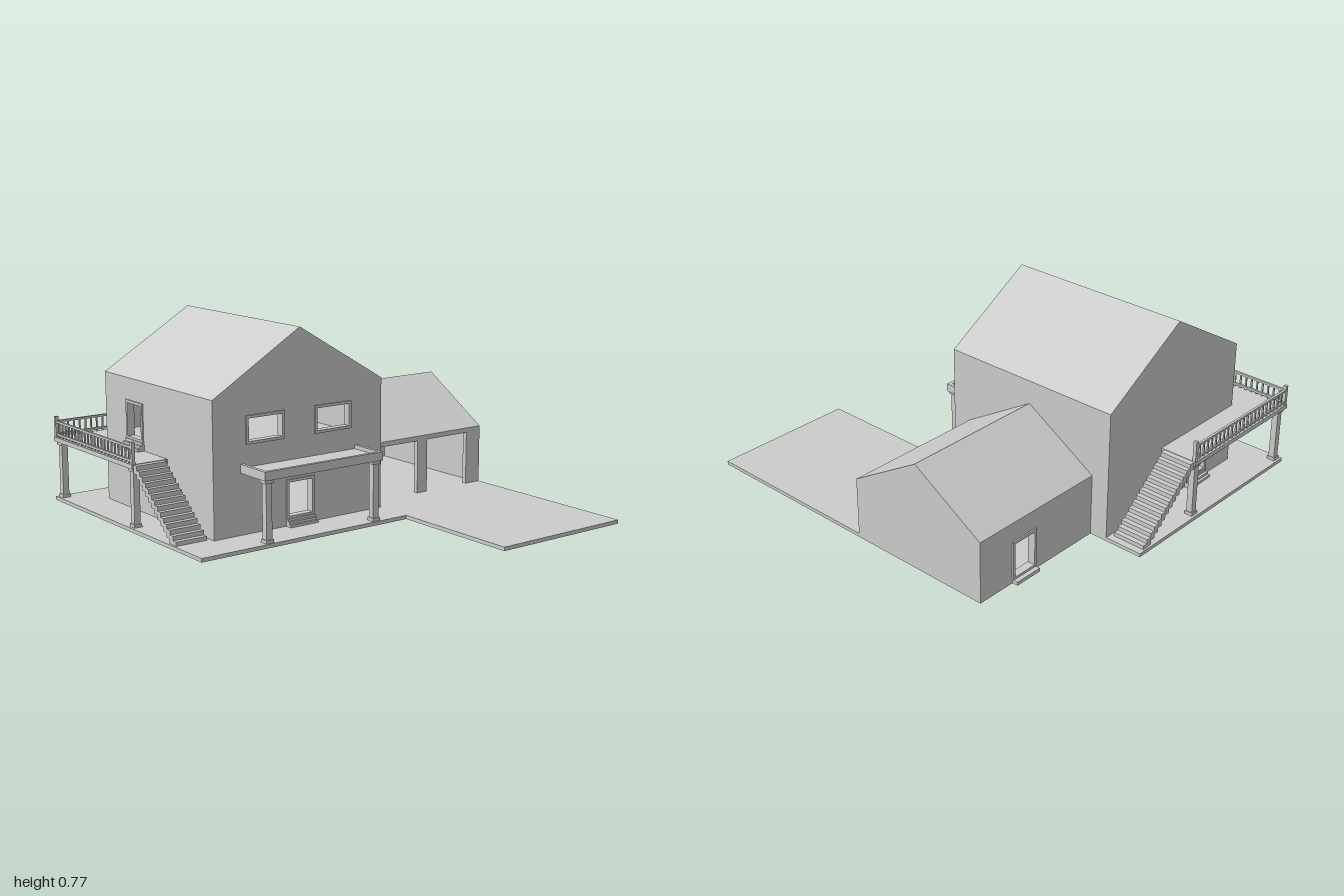
import * as THREE from 'three';

export function createModel() {
  const root = new THREE.Group();
  root.name = 'house';
  const site = new THREE.Group();
  site.name = 'site';
  site.rotation.y = -Math.PI / 12; // the plan is turned 15 degrees
  root.add(site);

  const mat = new THREE.MeshStandardMaterial({ color: 0xcccccc, flatShading: true });
  const T = 0.02; // wall thickness

  function add(name, geo, parent = site) {
    const m = new THREE.Mesh(geo, mat);
    m.name = name;
    parent.add(m);
    return m;
  }
  // Box given by its min and max corners
  function box(name, x0, x1, y0, y1, z0, z1, parent) {
    const m = add(name, new THREE.BoxGeometry(x1 - x0, y1 - y0, z1 - z0), parent);
    m.position.set((x0 + x1) / 2, (y0 + y1) / 2, (z0 + z1) / 2);
    return m;
  }
  const poly = (pts) => new THREE.Shape(pts.map(([a, b]) => new THREE.Vector2(a, b)));
  const rect = ([a0, a1, b0, b1], g = 0) =>
    poly([[a0 - g, b0 - g], [a1 + g, b0 - g], [a1 + g, b1 + g], [a0 - g, b1 + g]]);
  const extrude = (shape, depth) => new THREE.ExtrudeGeometry(shape, { depth, bevelEnabled: false });

  // Upright wall with openings; alongZ turns the outline into the z-y plane.
  // Openings are [from, to, bottom, top, framed].
  function wall(name, outline, openings, alongZ, at) {
    const g = new THREE.Group();
    g.name = name;
    const shape = poly(outline);
    openings.forEach((o) => shape.holes.push(rect(o)));
    add(name + 'Panel', extrude(shape, T), g);
    openings.filter((o) => o[4]).forEach((o) => {
      const ring = rect(o, 0.002);
      ring.holes.push(rect(o, -0.009));
      add('openingFrame', extrude(ring, T + 0.012), g).position.z = -0.006;
    });
    if (alongZ) {
      g.rotation.y = -Math.PI / 2;
      g.position.x = at;
    } else g.position.z = at;
    site.add(g);
  }
  const plain = (a0, a1, h) => [[a0, 0], [a1, 0], [a1, h], [a0, h]];
  const gable = (a0, a1, h, peak) =>
    [[a0, 0], [a1, 0], [a1, h - T], [(a0 + a1) / 2, peak - T], [a0, h - T]];
  const chevron = (a0, a1, h, peak) => {
    const c = (a0 + a1) / 2;
    return poly([[a0, h - T], [c, peak - T], [a1, h - T], [a1, h], [c, peak], [a0, h]]);
  };

  // Ground slabs
  box('terraceLeft', -0.817, -0.657, 0, 0.015, -0.133, 0.812);
  box('terraceRight', 0.127, 0.285, 0, 0.015, -0.133, 0.812);
  box('terraceFront', -0.657, 0.127, 0, 0.015, 0.656, 0.812);
  box('driveway', -0.581, 0.835, 0, 0.015, -0.74, -0.133);

  // House
  const [X0, X1, Z0, Z1] = [-0.657, 0.127, -0.133, 0.656];
  wall('houseRightWall', gable(Z0, Z1, 0.54, 0.775), [
    [0.34, 0.51, 0.36, 0.465, true],
    [0.023, 0.193, 0.36, 0.465, true],
    [0.2, 0.328, 0.045, 0.195, true],
  ], true, X1);
  wall('houseLeftWall', gable(Z0, Z1, 0.54, 0.775), [[0.36, 0.488, 0.045, 0.195, true]], true, X0 + T);
  wall('houseFrontWall', plain(X0 + T, X1 - T, 0.52), [[-0.487, -0.367, 0.298, 0.45, true]], false, Z1 - T);
  wall('houseBackWall', plain(X0 + T, X1 - T, 0.52), [[-0.51, -0.385, 0.045, 0.2, true]], false, Z0);
  const houseRoof = add('houseRoof', extrude(chevron(Z0, Z1, 0.54, 0.775), X1 - X0));
  houseRoof.rotation.y = -Math.PI / 2;
  houseRoof.position.x = X1;
  box('groundFloor', X0 + T, X1 - T, 0.04, 0.048, Z0 + T, Z1 - T);
  box('upperFloor', X0 + T, X1 - T, 0.28, 0.298, Z0 + T, Z1 - T);

  // Garage, open towards the driveway
  const [GX0, GX1, GZ0] = [-0.581, 0.046, -0.74];
  wall('garageDoorWall', plain(GZ0 + T, Z0, 0.24), [
    [-0.395, -0.178, 0.015, 0.235],
    [-0.665, -0.447, 0.015, 0.235],
  ], true, GX1);
  wall('garageLeftWall', plain(GZ0 + T, Z0, 0.24), [[-0.572, -0.45, 0.016, 0.175, true]], true, GX0 + T);
  wall('garageBackWall', gable(GX0, GX1, 0.255, 0.445), [], false, GZ0);
  add('garageRoof', extrude(chevron(GX0, GX1, 0.255, 0.445), Z0 - GZ0)).position.z = GZ0;

  // Small steps before a door, spreading along direction (dx, dz)
  function doorSteps(x, y, z, dx, dz, top) {
    const n = 3, w = 0.065, rise = (top - y) / n;
    for (let i = 0; i < n; i++) {
      const d = 0.01 * (n - i);
      box('doorStep',
        dx ? Math.min(x, x + dx * d) : x - w, dx ? Math.max(x, x + dx * d) : x + w,
        y + i * rise, y + (i + 1) * rise,
        dz ? Math.min(z, z + dz * d) : z - w, dz ? Math.max(z, z + dz * d) : z + w);
    }
  }
  doorSteps(X1, 0.015, 0.264, 1, 0, 0.045);
  doorSteps(X0, 0.015, 0.424, -1, 0, 0.045);
  doorSteps(-0.447, 0.015, Z0, 0, -1, 0.045);
  doorSteps(-0.427, 0.265, Z1, 0, 1, 0.298);
  box('garageDoorSill', GX0 - 0.024, GX0, 0, 0.015, -0.572, -0.45);

  // Square post with base and cap
  function post(name, x, z, y1) {
    const g = new THREE.Group();
    g.name = name;
    const part = (n, r, a, b) => box(n, x - r, x + r, a, b, z - r, z + r, g);
    part('postBase', 0.017, 0.015, 0.028);
    part('postShaft', 0.013, 0.028, y1 - 0.014);
    part('postCap', 0.018, y1 - 0.014, y1);
    site.add(g);
  }

  // Raised deck around the left and front
  const DY = 0.265;
  box('deckFront', -0.817, -0.19, DY - 0.018, DY, Z1, 0.812);
  box('deckLeft', -0.817, X0, DY - 0.018, DY, 0.19, Z1);
  [[-0.79, 0.785], [-0.79, 0.22], [-0.217, 0.785]].forEach(([x, z]) => post('deckPost', x, z, DY - 0.018));

  // Railing between two deck points
  function railing(xa, za, xb, zb) {
    const g = new THREE.Group();
    g.name = 'railing';
    const r = 0.005;
    for (const y of [0.276, 0.328]) {
      box('rail', Math.min(xa, xb) - r, Math.max(xa, xb) + r, y - 0.004, y + 0.005,
        Math.min(za, zb) - r, Math.max(za, zb) + r, g);
    }
    const n = Math.round(Math.hypot(xb - xa, zb - za) / 0.026);
    for (let i = 0; i <= n; i++) {
      const x = xa + (xb - xa) * i / n, z = za + (zb - za) * i / n;
      const end = i === 0 || i === n, h = end ? 0.007 : 0.003;
      box(end ? 'newel' : 'baluster', x - h, x + h, DY, end ? 0.35 : 0.33, z - h, z + h, g);
    }
    site.add(g);
  }
  railing(-0.808, 0.803, -0.198, 0.803);
  railing(-0.808, 0.198, -0.808, 0.803);

  // Two flights of steps from the deck to the terrace
  const N = 14, run = 0.29 / N, rise = (DY - 0.015) / N;
  for (let i = 0; i < N; i++) {
    const y = DY - i * rise, y0 = Math.max(0.01, y - 0.034);
    box('frontStair', -0.19 + i * run, -0.19 + (i + 1) * run + 0.003, y0, y - 0.002, 0.672, 0.805);
    box('leftStair', -0.81, -0.672, y0, y - 0.002, 0.19 - (i + 1) * run - 0.003, 0.19 - i * run);
  }

  // Porch over the right-hand door: tray roof on two posts
  box('porchRoof', X1, 0.28, 0.253, 0.272, -0.01, 0.531);
  box('porchRimOuter', 0.27, 0.285, 0.253, 0.287, -0.015, 0.536);
  box('porchRimBack', X1, 0.27, 0.253, 0.287, -0.015, 0);
  box('porchRimFront', X1, 0.27, 0.253, 0.287, 0.521, 0.536);
  post('porchPost', 0.262, 0.012, 0.254);
  post('porchPost', 0.262, 0.512, 0.254);

  return root;
}
